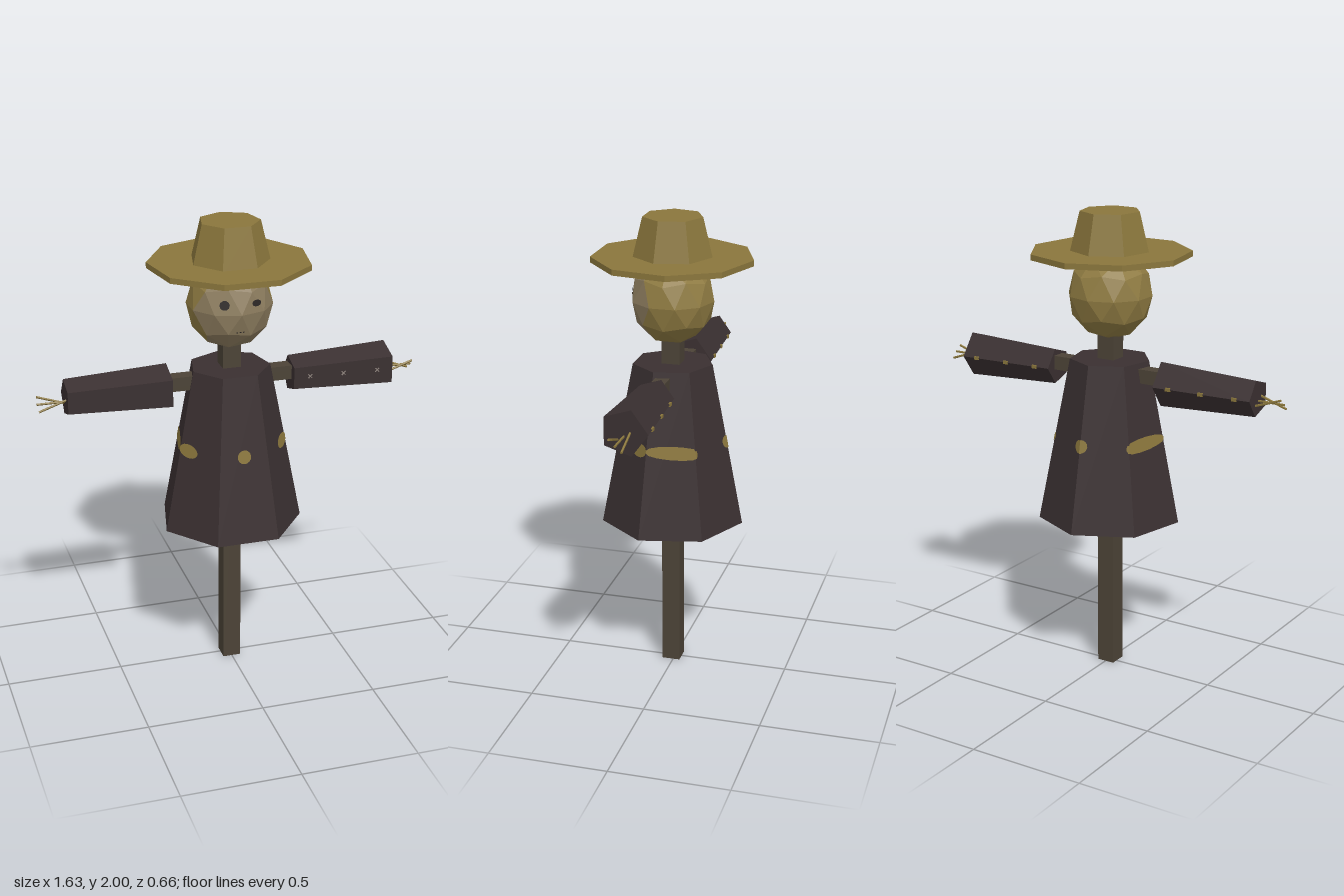
import * as THREE from 'three';

const mat = (name, color) => {
  const m = new THREE.MeshStandardMaterial({ color });
  m.name = name;
  m.flatShading = true;
  return m;
};

export function createModel() {
  const straw = mat('straw', 0x8a763c);
  const cloth = mat('dark cloth', 0x3a3031);
  const wood = mat('wood', 0x4c4337);
  const burlap = mat('pale burlap', 0x8c7c5e);
  const sacking = mat('golden sacking', 0x8f7b42);
  const ink = mat('ink', 0x2a2625);
  const thread = mat('pale thread', 0x8d837c);

  const model = new THREE.Group();
  const body = new THREE.Group();
  body.name = 'scarecrow';
  body.position.z = 0.01;
  model.add(body);

  const add = (name, geo, material, x = 0, y = 0, z = 0) => {
    const m = new THREE.Mesh(geo, material);
    m.name = name;
    m.position.set(x, y, z);
    body.add(m);
    return m;
  };
  // Upright tapered prism with one corner pointing backwards
  const prism = (rTop, rBottom, h, sides) =>
    new THREE.CylinderGeometry(rTop, rBottom, h, sides, 1, false, Math.PI);

  // Wooden frame
  add('pole', new THREE.BoxGeometry(0.078, 1.55, 0.078), wood, 0, 0.775, 0);
  add('crossbar', new THREE.BoxGeometry(1.3, 0.06, 0.06), wood, 0, 1.327, 0);

  // Coat
  const sides = 7, y0 = 0.68, y1 = 1.38, r0 = 0.307, r1 = 0.171;
  add('coat', prism(r1, r0, y1 - y0, sides), cloth, 0, (y0 + y1) / 2, 0);

  // Straw patches: discs projected front to back onto every coat face
  const patch = (cx, cy, r) => {
    const pos = [];
    const rows = 8;
    for (let f = 0; f < sides; f++) {
      const a = Math.PI + (f * 2 * Math.PI) / sides;
      const b = a + (2 * Math.PI) / sides;
      const row = (k) => {
        const t = -Math.PI / 2 + (Math.PI * k) / rows;
        const y = cy + r * Math.sin(t), w = r * Math.cos(t);
        const R = THREE.MathUtils.mapLinear(y, y0, y1, r0, r1) + 0.003;
        const A = new THREE.Vector3(R * Math.sin(a), y, R * Math.cos(a));
        const B = new THREE.Vector3(R * Math.sin(b), y, R * Math.cos(b));
        const u = [cx - w, cx + w].map((x) => (x - A.x) / (B.x - A.x)).sort((p, q) => p - q);
        const lo = Math.max(0, u[0]), hi = Math.min(1, u[1]);
        return lo <= hi ? [A.clone().lerp(B, lo), A.clone().lerp(B, hi)] : null;
      };
      for (let k = 0; k < rows; k++) {
        const p = row(k), q = row(k + 1);
        if (!p || !q) continue;
        for (const v of [p[0], p[1], q[1], p[0], q[1], q[0]]) pos.push(v.x, v.y, v.z);
      }
    }
    const g = new THREE.BufferGeometry();
    g.setAttribute('position', new THREE.Float32BufferAttribute(pos, 3));
    g.computeVertexNormals();
    return g;
  };
  for (const x of [-0.205, 0, 0.205]) add('coatPatch', patch(x, 1.048, 0.029), straw);

  // Sleeves: both widen towards +x, one corner pointing backwards
  const rSmall = 0.079, rBig = 0.099, len = 0.435, armY = 1.31;
  for (const s of [-1, 1]) {
    const side = s > 0 ? 'left' : 'right';
    const g = prism(rBig, rSmall, len, 5).rotateZ(-Math.PI / 2);
    add(side + 'Sleeve', g, cloth, s * 0.4825, armY, 0);

    // Stitches along the rear edge, and crossed threads on the left sleeve front
    for (const d of [0.335, 0.482, 0.632]) {
      const x = s * d;
      const r = THREE.MathUtils.mapLinear(x, s * 0.4825 - len / 2, s * 0.4825 + len / 2, rSmall, rBig);
      add(side + 'SleeveStitch', new THREE.BoxGeometry(0.022, 0.014, 0.008), straw, x, armY, -r + 0.001);
      if (s > 0) for (const t of [-1, 1]) {
        add('crossStitch', new THREE.BoxGeometry(0.024, 0.004, 0.006), thread, x, armY + 0.005, r * 0.809)
          .rotation.z = (t * Math.PI) / 4;
      }
    }

    // Straw fingers fanning out of the cuff
    for (const k of [-1, 0, 1]) {
      const finger = new THREE.CylinderGeometry(0.005, 0.005, 0.145, 5).rotateZ(Math.PI / 2);
      add(side + 'StrawFinger', finger, straw, s * 0.744, 1.296, k * 0.025).rotation.z = k * 0.33;
    }
  }

  // Faceted head with a pole vertex on top; front facets are pale
  const head = new THREE.IcosahedronGeometry(1, 1);
  head.rotateZ(-Math.atan(2 / (1 + Math.sqrt(5))));
  head.scale(0.18, 0.19, 0.176).translate(0, 1.652, 0);
  head.computeVertexNormals();
  const p = head.attributes.position;
  head.clearGroups();
  for (let i = 0; i < p.count; i += 3) {
    const z = (p.getZ(i) + p.getZ(i + 1) + p.getZ(i + 2)) / 3;
    head.addGroup(i, 3, z > 0.055 ? 0 : 1);
  }
  const headMesh = add('head', head, [burlap, sacking]);

  // Face details laid flat on the facets
  const ray = new THREE.Raycaster();
  const onFace = (name, x, y, w, h) => {
    ray.set(new THREE.Vector3(x, y, 1), new THREE.Vector3(0, 0, -1));
    const hit = ray.intersectObject(headMesh)[0];
    if (!hit) return;
    const n = hit.face.normal;
    const c = hit.point.addScaledVector(n, 0.004);
    const disc = add(name, new THREE.CircleGeometry(1, 10).scale(w, h, 1), ink, c.x, c.y, c.z);
    disc.quaternion.setFromUnitVectors(new THREE.Vector3(0, 0, 1), n);
  };
  onFace('rightEye', -0.065, 1.692, 0.021, 0.02);
  onFace('leftEye', 0.067, 1.692, 0.022, 0.014);
  for (const x of [-0.014, 0, 0.014]) onFace('mouthStitch', x, 1.575, 0.004, 0.003);

  // Hat
  add('hatBrim', prism(0.34, 0.34, 0.024, 9), straw, 0, 1.824, 0);
  add('hatCrown', prism(0.127, 0.171, 0.18, 7), straw, 0, 1.91, 0);

  return model;
}
